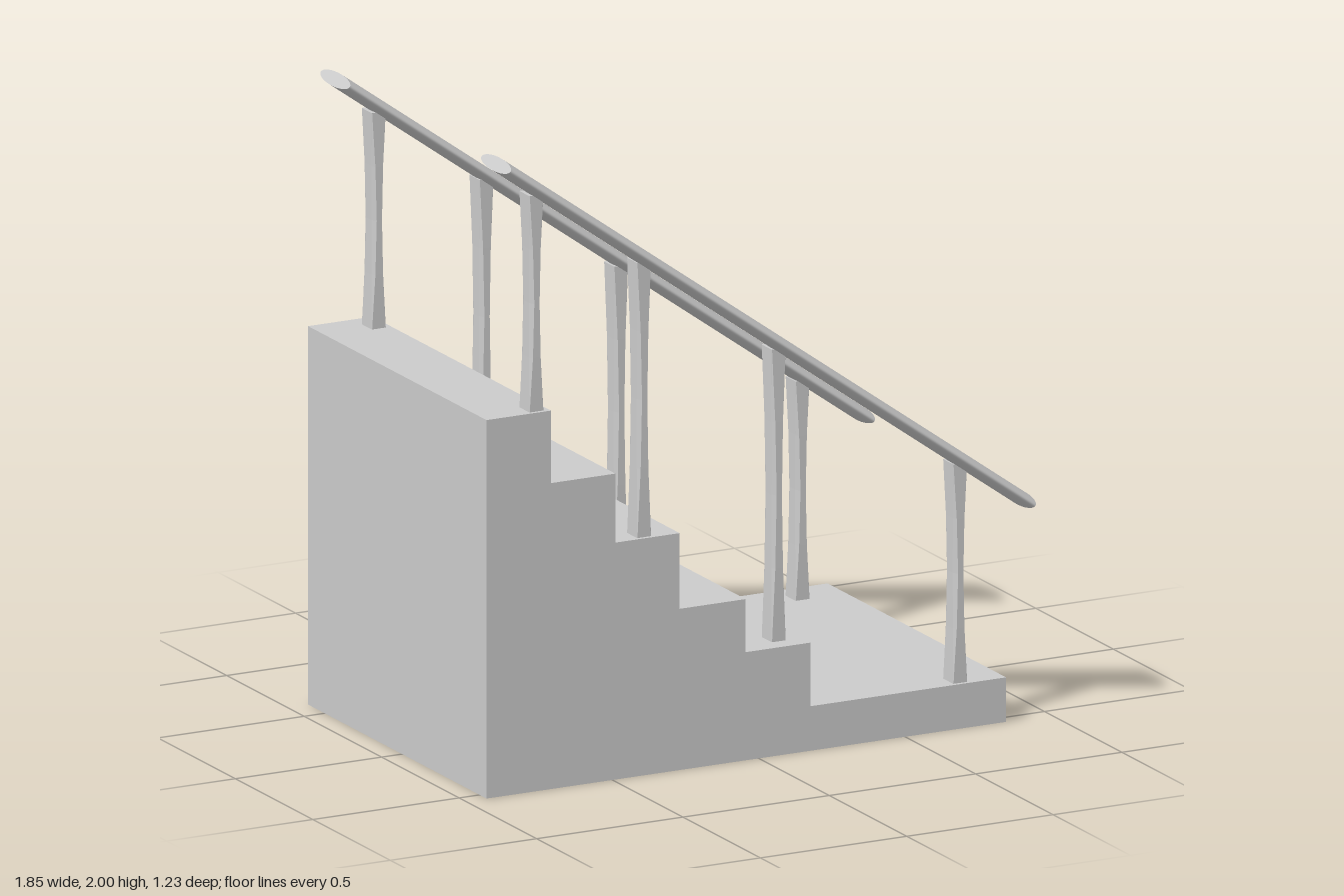
import * as THREE from 'three';

const grey = new THREE.MeshStandardMaterial({ color: 0xcccccc });
const faceted = new THREE.MeshStandardMaterial({ color: 0xcccccc, flatShading: true });

function add(group, name, geometry, material) {
  const mesh = new THREE.Mesh(geometry, material);
  mesh.name = name;
  group.add(mesh);
  return mesh;
}

// Solid stair block: side profile extruded across the width
function stairGeometry() {
  const steps = [[-0.71, 1.19], [-0.49, 0.962], [-0.27, 0.745], [-0.045, 0.507], [0.177, 0.34], [0.845, 0.14]];
  const shape = new THREE.Shape();
  shape.moveTo(0.845, 0);
  shape.lineTo(-0.93, 0);
  let x = -0.93;
  for (const [end, y] of steps) {
    shape.lineTo(x, y);
    shape.lineTo(end, y);
    x = end;
  }
  const geometry = new THREE.ExtrudeGeometry(shape, { depth: 1.152, bevelEnabled: false });
  return geometry.translate(0, 0, -0.607);
}

// Post: rectangular at the ends, waisted with chamfered corners in the middle
function postGeometry(height) {
  const geometry = new THREE.CylinderGeometry(1, 1, height, 8, 4, false, Math.PI / 8);
  const p = geometry.attributes.position;
  for (let i = 0; i < p.count; i++) {
    const x = p.getX(i), z = p.getZ(i);
    if (Math.hypot(x, z) < 0.5) continue; // cap centres
    const mid = Math.cos(Math.PI * p.getY(i) / height);
    let hx = 0.024 - 0.006 * mid, hz = 0.033 + 0.003 * mid;
    if (Math.abs(x) > Math.abs(z)) hz -= 0.001 + 0.017 * mid;
    else hx -= 0.001 + 0.008 * mid;
    p.setXYZ(i, Math.sign(x) * hx, p.getY(i), Math.sign(z) * hz);
  }
  geometry.computeVertexNormals();
  return geometry.translate(0, height / 2, 0);
}

// Handrail: flattened round bar running along the slope
function railGeometry(start, end) {
  const run = end.clone().sub(start);
  const geometry = new THREE.CylinderGeometry(1, 1, run.length(), 48);
  geometry.scale(0.022, 1, 0.094);
  geometry.rotateZ(Math.atan2(run.y, run.x) - Math.PI / 2);
  const centre = start.clone().add(end).multiplyScalar(0.5);
  return geometry.translate(centre.x, centre.y, 0);
}

export function createModel() {
  const model = new THREE.Group();
  model.name = 'staircase';
  add(model, 'steps', stairGeometry(), grey);

  // x, foot height, top height
  const posts = [[-0.753, 1.19, 1.87], [-0.385, 0.745, 1.61], [0.075, 0.355, 1.275], [0.695, 0.14, 0.83]];
  const rail = railGeometry(new THREE.Vector2(-0.883, 1.982), new THREE.Vector2(0.91, 0.688));

  for (const [side, railZ, postZ] of [['front', 0.518, 0.5], ['back', -0.52, -0.517]]) {
    const railing = new THREE.Group();
    railing.name = side + 'Railing';
    add(railing, 'handrail', rail, grey).position.z = railZ;
    for (const [x, foot, top] of posts)
      add(railing, 'post', postGeometry(top - foot), faceted).position.set(x, foot, postZ);
    model.add(railing);
  }
  return model;
}
